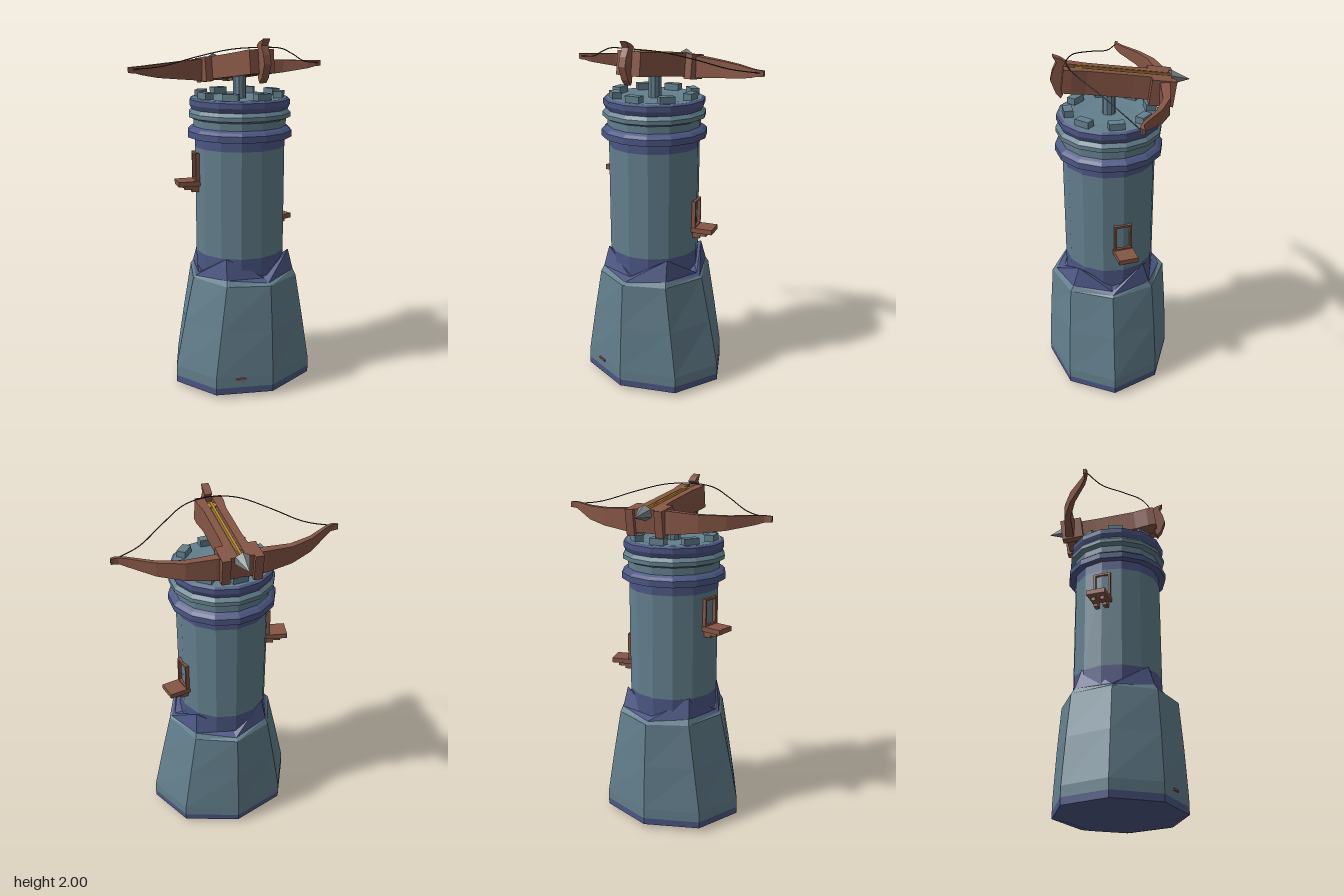
import * as THREE from 'three';

const paint = (name, color) => {
  const m = new THREE.MeshStandardMaterial({ color, flatShading: true });
  m.name = name;
  return m;
};

// Skin between closed loops of [x, y, z] points that run right-handed about the direction of travel
function loft(rings, capStart, capEnd) {
  const pos = [];
  const tri = (...p) => p.forEach((v) => pos.push(...v));
  const n = rings[0].length;
  for (let j = 0; j < rings.length - 1; j++) {
    for (let i = 0; i < n; i++) {
      const k = (i + 1) % n;
      const a = rings[j][i], b = rings[j][k], c = rings[j + 1][k], d = rings[j + 1][i];
      tri(a, b, c);
      tri(a, c, d);
    }
  }
  const last = rings[rings.length - 1];
  for (let i = 1; i < n - 1; i++) {
    if (capStart) tri(rings[0][0], rings[0][i + 1], rings[0][i]);
    if (capEnd) tri(last[0], last[i], last[i + 1]);
  }
  const g = new THREE.BufferGeometry();
  g.setAttribute('position', new THREE.Float32BufferAttribute(pos, 3));
  g.computeVertexNormals();
  return g;
}

// Horizontal polygon loop; y may depend on the corner index
function ring(n, y, rx, rz, cx, cz) {
  return Array.from({ length: n }, (_, i) => {
    const t = (i / n) * Math.PI * 2;
    return [cx + rx * Math.sin(t), typeof y === 'function' ? y(i) : y, cz + rz * Math.cos(t)];
  });
}

export function createModel() {
  const stone = paint('stone', 0x637f8d);
  const blueStone = paint('blue stone', 0x4c5784);
  const wood = paint('wood', 0x865646);
  const gold = paint('gold', 0xb98a2c);
  const steel = paint('steel', 0x7d8484);
  const cord = paint('cord', 0x34302e);

  const model = new THREE.Group();
  const add = (parent, name, geometry, material, x = 0, y = 0, z = 0) => {
    const m = new THREE.Mesh(geometry, material);
    m.name = name;
    m.position.set(x, y, z);
    parent.add(m);
    return m;
  };
  const box = (parent, name, mat, w, h, d, x, y, z) =>
    add(parent, name, new THREE.BoxGeometry(w, h, d), mat, x, y, z);

  // Eight-sided foot of the tower
  const foot = (rows) => rows.map(([y, rx, rz]) => ring(8, y, rx, rz, 0.018, 0.03));
  add(model, 'footRim', loft(foot([[0.005, 0.31, 0.27], [0.03, 0.437, 0.37], [0.07, 0.437, 0.371]]), true), blueStone);
  add(model, 'foot', loft(foot([
    [0.07, 0.437, 0.371], [0.13, 0.435, 0.37], [0.4, 0.377, 0.355], [0.66, 0.318, 0.335],
    [(i) => (i % 2 ? 0.69 : 0.67), 0.305, 0.31],
  ])), stone);
  // Shoulder with a raised point at every second corner
  add(model, 'footShoulder', loft(foot([
    [(i) => (i % 2 ? 0.69 : 0.67), 0.305, 0.31],
    [(i) => (i % 2 ? 0.805 : 0.685), 0.285, 0.262],
    [(i) => (i % 2 ? 0.74 : 0.69), 0.22, 0.21],
  ])), blueStone);
  box(model, 'footPeg', wood, 0.06, 0.012, 0.02, -0.155, 0.12, 0.336).rotation.y = -0.34;

  // Round tower and its cornice
  const CX = 0.005, CZ = 0.02;
  const tier = (name, mat, rows, capEnd) =>
    add(model, name, loft(rows.map(([y, r]) => ring(14, y, r, r, CX, CZ)), false, capEnd), mat);
  tier('towerLowerBand', blueStone, [[0.62, 0.257], [0.8, 0.257]]);
  tier('towerWall', stone, [[0.8, 0.257], [1.405, 0.257]]);
  tier('towerUpperBand', blueStone, [
    [1.405, 0.257], [1.46, 0.257], [1.46, 0.297], [1.495, 0.297], [1.51, 0.28], [1.52, 0.263],
  ]);
  tier('cornice', stone, [[1.52, 0.263], [1.56, 0.263], [1.572, 0.29], [1.595, 0.29], [1.615, 0.272]]);
  tier('corniceBand', blueStone, [[1.615, 0.272], [1.64, 0.284], [1.668, 0.284], [1.677, 0.268]]);
  tier('deck', stone, [[1.677, 0.268], [1.677, 0.22], [1.67, 0.16]], true);

  // Battlements
  for (let i = 0; i < 8; i++) {
    const a = THREE.MathUtils.degToRad(95 - 45 * i);
    const r = 0.222;
    box(model, 'battlement', stone, 0.085, 0.045, 0.05,
      CX + r * Math.sin(a), 1.69, CZ + r * Math.cos(a)).rotation.y = a;
  }
  add(model, 'pivotPost', new THREE.CylinderGeometry(0.037, 0.037, 0.18, 10), stone, 0.007, 1.75, CZ);

  // Windows with a ledge on two brackets
  const rect = (path, w, h) => {
    path.moveTo(-w, -h);
    path.lineTo(w, -h);
    path.lineTo(w, h);
    path.lineTo(-w, h);
    path.closePath();
    return path;
  };
  for (const [degrees, y] of [[102, 0.93], [-102, 1.2]]) {
    const g = new THREE.Group();
    g.name = 'window';
    g.position.set(CX, y, CZ);
    g.rotation.y = THREE.MathUtils.degToRad(degrees);
    model.add(g);
    const shape = rect(new THREE.Shape(), 0.05, 0.08);
    shape.holes.push(rect(new THREE.Path(), 0.039, 0.068));
    add(g, 'windowFrame', new THREE.ExtrudeGeometry(shape, { depth: 0.035, bevelEnabled: false }), wood, 0, 0.095, 0.232);
    box(g, 'ledge', wood, 0.11, 0.028, 0.13, 0, 0.004, 0.302);
    for (const s of [-1, 1]) {
      box(g, 'ledgeBracket', wood, 0.024, 0.022, 0.09, s * 0.027, -0.02, 0.285);
      box(g, 'ledgeBracketFoot', wood, 0.024, 0.02, 0.05, s * 0.027, -0.036, 0.265);
    }
  }

  // Crossbow stock, tilted down toward its tip
  const bow = new THREE.Group();
  bow.name = 'crossbow';
  bow.position.set(0.007, 1.85, 0);
  bow.rotation.x = -0.127;
  model.add(bow);
  box(bow, 'stockCore', wood, 0.05, 0.1, 0.56, 0, -0.012, -0.02);
  for (const s of [-1, 1]) {
    const plan = new THREE.Shape([
      [0.02, -0.3], [0.07, -0.3], [0.062, -0.1], [0.062, 0.14], [0.074, 0.22], [0.074, 0.268], [0.02, 0.268],
    ].map(([x, z]) => new THREE.Vector2(s * x, -z)));
    const rail = new THREE.ExtrudeGeometry(plan, { depth: 0.127, bevelEnabled: false });
    rail.rotateX(-Math.PI / 2);
    add(bow, 'stockRail', rail, wood, 0, -0.065, 0);
    box(bow, 'bowClamp', wood, 0.046, 0.14, 0.13, s * 0.085, -0.008, -0.255);
  }

  // Bolt lying in the groove
  box(bow, 'boltGroove', steel, 0.026, 0.008, 0.5, 0, 0.041, -0.05);
  box(bow, 'boltShaft', gold, 0.014, 0.02, 0.52, 0.002, 0.056, -0.05);
  add(bow, 'boltNock', new THREE.CylinderGeometry(0.024, 0.024, 0.012, 8), gold, 0.002, 0.056, 0.185);
  const head = add(bow, 'boltHead', new THREE.ConeGeometry(0.043, 0.11, 6), steel, 0, 0.045, -0.355);
  head.rotation.x = -Math.PI / 2;

  // Curved tail piece behind the stock
  const tail = new THREE.Shape([
    [-0.31, 2.0], [-0.29, 1.965], [-0.313, 1.92], [-0.325, 1.87], [-0.3, 1.8], [-0.275, 1.77],
    [-0.262, 1.79], [-0.255, 1.95], [-0.242, 1.965], [-0.27, 1.985],
  ].map(([z, y]) => new THREE.Vector2(z, y)));
  const tailGeometry = new THREE.ExtrudeGeometry(tail, { depth: 0.042, bevelEnabled: false });
  tailGeometry.rotateY(Math.PI / 2);
  add(model, 'tailPiece', tailGeometry, wood, -0.014, 0, 0);

  // Bow limbs: [x, y, z, half height, half depth] from the middle out
  const limb = [
    [0.06, 1.81, -0.26, 0.062, 0.026], [0.13, 1.81, -0.26, 0.06, 0.025], [0.28, 1.812, -0.243, 0.047, 0.019],
    [0.41, 1.818, -0.188, 0.037, 0.015], [0.53, 1.83, -0.104, 0.024, 0.011],
    [0.57, 1.836, -0.083, 0.018, 0.008], [0.59, 1.836, -0.08, 0.017, 0.009], [0.61, 1.837, -0.084, 0.015, 0.008],
  ];
  const stations = [...limb.map(([x, ...rest]) => [-x, ...rest]).reverse(), ...limb];
  add(model, 'bowLimbs', loft(stations.map(([x, y, z, h, d]) =>
    [[1, 1], [-1, 1], [-1, -1], [1, -1]].map(([u, v]) => [x + 0.004, y + u * h, z + v * d])), true, true), wood);

  // Bowstring drawn back to the nock
  const half = [[0.6, 1.838, -0.078], [0.45, 1.855, -0.01], [0.3, 1.905, 0.095], [0.15, 1.945, 0.2]];
  const path = [...half.map(([x, y, z]) => [-x, y, z]), [0, 1.953, 0.24], ...half.slice().reverse()];
  const curve = new THREE.CatmullRomCurve3(path.map(([x, y, z]) => new THREE.Vector3(x + 0.005, y, z)));
  add(model, 'bowstring', new THREE.TubeGeometry(curve, 40, 0.003, 5), cord);

  return model;
}
